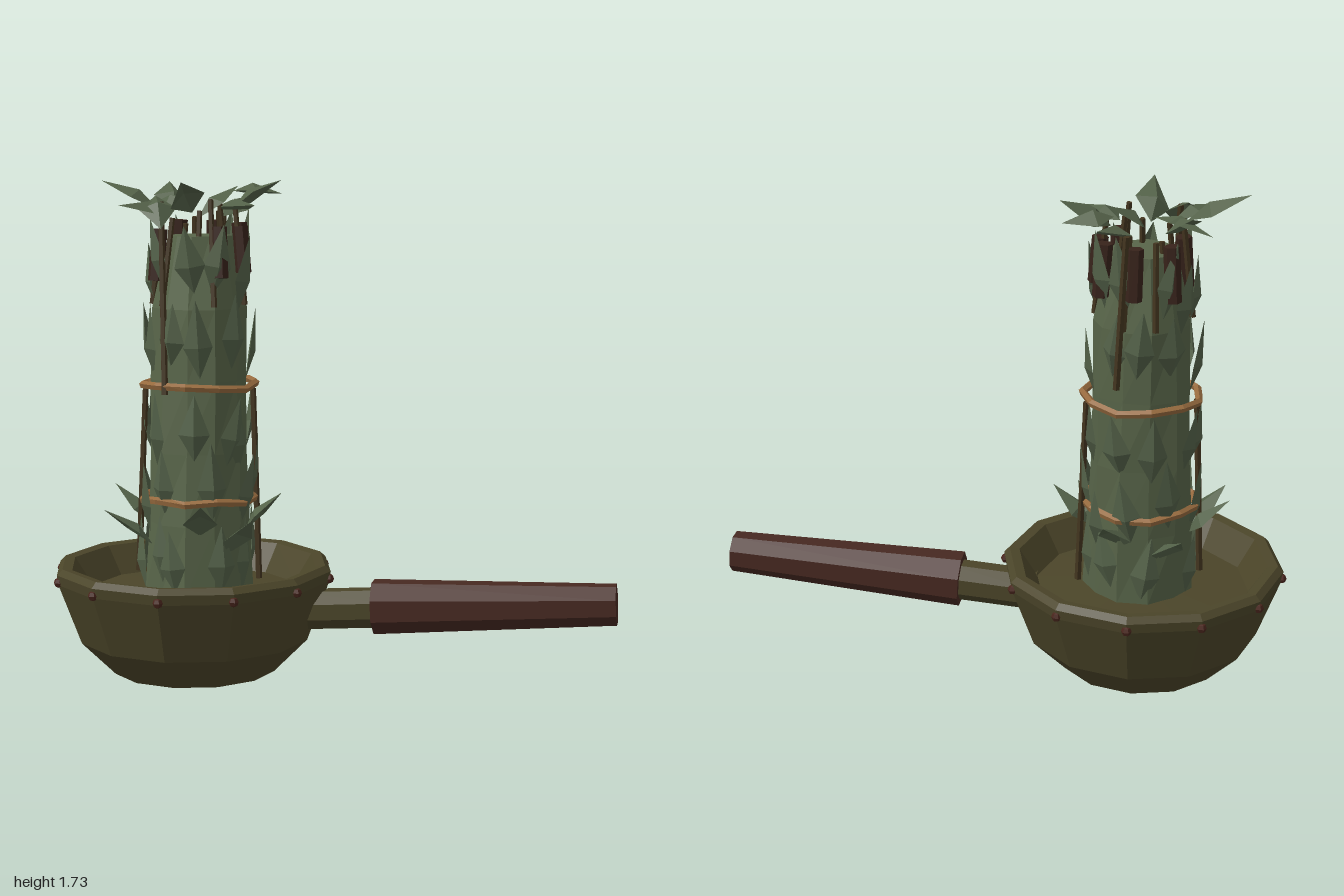
import * as THREE from 'three';
import { mergeGeometries } from 'three/addons/utils/BufferGeometryUtils.js';

const V = (x, y, z) => new THREE.Vector3(x, y, z);
const CX = -0.485;
// centre line and radius of the leaning herb bundle
const axisZ = y => -0.055 * (y - 0.3);
const bundleR = y => 0.195 - 0.028 * (y - 0.3);
const onBundle = (a, y, out = 0) => {
  const r = bundleR(y) + out;
  return V(CX + Math.sin(a) * r, y, axisZ(y) + Math.cos(a) * r);
};

function paint(name, color, side = THREE.FrontSide) {
  const m = new THREE.MeshStandardMaterial({ color, flatShading: true, side });
  m.name = name;
  return m;
}

// tapered rod between two points
function rod(a, b, ra, rb, sides) {
  const dir = b.clone().sub(a);
  const g = new THREE.CylinderGeometry(rb, ra, dir.length(), sides);
  g.rotateY(Math.PI / sides);
  g.applyQuaternion(new THREE.Quaternion().setFromUnitVectors(V(0, 1, 0), dir.clone().normalize()));
  g.translate((a.x + b.x) / 2, (a.y + b.y) / 2, (a.z + b.z) / 2);
  return g;
}

// pointed leaf folded along its midrib, facing the given direction
function leaf(base, tip, width, facing) {
  const dir = tip.clone().sub(base);
  const side = facing.clone().cross(dir).normalize();
  const up = dir.clone().cross(side).normalize();
  const mid = base.clone().addScaledVector(dir, 0.4);
  const rib = mid.clone().addScaledVector(up, width * 0.25);
  const l = mid.clone().addScaledVector(side, -width / 2);
  const r = mid.clone().addScaledVector(side, width / 2);
  const g = new THREE.BufferGeometry().setFromPoints([base, rib, l, base, r, rib, l, rib, tip, rib, r, tip]);
  g.computeVertexNormals();
  return g;
}

export function createModel() {
  const model = new THREE.Group();
  let seed = 11;
  const rnd = () => (seed = (seed * 16807) % 2147483647) / 2147483647;
  const jit = s => (rnd() - 0.5) * 2 * s;

  const bronze = paint('olive bronze', 0x4b4529);
  const wood = paint('handle wood', 0x472921);
  const rivet = paint('rivet brown', 0x4a261d);
  const green = paint('herb green', 0x586549);
  const leafGreen = paint('leaf green', 0x546249, THREE.DoubleSide);
  const stemBrown = paint('stem brown', 0x43351f);
  const barkBrown = paint('dark bark', 0x38231b);
  const twine = paint('twine', 0x966a3e);

  const add = (name, geo, mat) => {
    const m = new THREE.Mesh(Array.isArray(geo) ? mergeGeometries(geo) : geo, mat);
    m.name = name;
    model.add(m);
    return m;
  };

  // twelve-sided bowl with a chamfered rim and a steep inner wall
  const profile = [[0, 0], [0.29, 0], [0.41, 0.12], [0.49, 0.335], [0.495, 0.37], [0.475, 0.39],
    [0.44, 0.385], [0.375, 0.285], [0, 0.305]];
  add('bowl', new THREE.LatheGeometry(profile.map(p => new THREE.Vector2(...p)), 12), bronze).position.x = -0.5;

  // rivets under the rim
  const rivets = [];
  for (let i = 0; i < 12; i++) {
    const a = i * Math.PI / 6;
    rivets.push(new THREE.SphereGeometry(0.018, 6, 4).translate(-0.5 + Math.sin(a) * 0.489, 0.344, Math.cos(a) * 0.489));
  }
  add('rivets', rivets, rivet);

  // handle
  add('handleSocket', rod(V(-0.12, 0.229, 0), V(0.2, 0.25, 0), 0.072, 0.072, 8), bronze);
  add('handleGrip', rod(V(0.15, 0.25, 0), V(0.995, 0.293, 0), 0.098, 0.073, 8), wood);

  // uneven core of the bundle, drawn in at the top
  const core = new THREE.CylinderGeometry(1, 1, 1.25, 11, 5);
  core.translate(0, 0.915, 0);
  const p = core.attributes.position;
  for (let i = 0; i < p.count; i++) {
    const y = p.getY(i), a = Math.atan2(p.getX(i), p.getZ(i));
    const taper = y > 1.5 ? 0.72 : 1;
    const r = Math.hypot(p.getX(i), p.getZ(i)) * bundleR(y) * taper * (0.97 + 0.04 * Math.sin(a * 4 + y * 5));
    p.setXYZ(i, CX + Math.sin(a) * r, y, axisZ(y) + Math.cos(a) * r);
  }
  add('bundleCore', core, green);

  // rows of leaves hugging the bundle
  const hugging = [];
  [0.31, 0.53, 0.77, 1.08, 1.32].forEach((y0, row) => {
    for (let i = 0; i < 9; i++) {
      const a = (i + (row % 2) / 2) * Math.PI * 2 / 9 + jit(0.2);
      const y = y0 + jit(0.05);
      const base = onBundle(a, y, -0.012);
      const tip = onBundle(a + jit(0.25), y + 0.25 + jit(0.03), (row ? 0.03 : 0.005) + jit(0.012));
      hugging.push(leaf(base, tip, 0.1 + jit(0.015), V(Math.sin(a), 0, Math.cos(a))));
    }
  });
  add('sideLeaves', hugging, leafGreen);

  // leaves spreading over the bowl
  const spread = [[-0.8, 0.65, -0.05], [-0.77, 0.6, 0.2], [-0.38, 0.65, 0.37], [-0.18, 0.645, 0.0],
    [-0.4, 0.65, -0.36], [-0.66, 0.6, -0.32], [-0.24, 0.58, 0.2]];
  add('lowerLeaves', spread.map(t => {
    const tip = V(...t), a = Math.atan2(tip.x - CX, tip.z);
    return leaf(onBundle(a, tip.y - 0.14, -0.02), tip, 0.12, V(Math.sin(a) * 0.3, 1, Math.cos(a) * 0.3));
  }), leafGreen);

  // crown of leaves on the stem tips: base then tip
  const crown = [[-0.62, 1.63, -0.02, -0.83, 1.73, -0.03], [-0.57, 1.62, 0.0, -0.72, 1.65, 0.14],
    [-0.6, 1.62, -0.13, -0.66, 1.72, -0.32], [-0.43, 1.6, -0.14, -0.36, 1.67, -0.33],
    [-0.38, 1.63, -0.12, -0.22, 1.73, -0.2], [-0.4, 1.63, -0.05, -0.26, 1.65, 0.05],
    [-0.5, 1.62, -0.02, -0.49, 1.73, 0.17], [-0.48, 1.6, -0.02, -0.37, 1.71, -0.17],
    [-0.4, 1.69, -0.22, -0.24, 1.68, -0.29], [-0.62, 1.68, 0.02, -0.57, 1.57, 0.14],
    [-0.52, 1.66, -0.1, -0.72, 1.63, -0.2]];
  add('crownLeaves', crown.map(c => leaf(V(...c.slice(0, 3)), V(...c.slice(3)), 0.13, V(jit(0.5), 1, jit(0.5)))), leafGreen);

  // thin stems: long ones down the sides and short ones at the top
  const stems = [[1.9, 1.9, 0.32, 1.0], [-1.5, -1.4, 0.35, 1.0], [-0.4, -0.66, 1.0, 1.66], [2.8, 2.9, 1.1, 1.63]]
    .map(([a0, a1, y0, y1]) => rod(onBundle(a0, y0, 0.022), onBundle(a1, y1, 0.015), 0.012, 0.011, 5));
  for (let i = 0; i < 9; i++) {
    const a = i * 0.7 + jit(0.2);
    const r = i % 3 === 0 ? -0.09 : -0.03;
    stems.push(rod(onBundle(a, 1.3, r + 0.03), onBundle(a + jit(0.1), 1.62 + jit(0.05), r), 0.011, 0.01, 5));
  }
  add('stems', stems, stemBrown);

  // thick bark pieces tucked in the top
  const bark = [-2.4, -0.95, 0.7, 1.45, 2.2, 3.05].map(a =>
    rod(onBundle(a, 1.4 + jit(0.02), 0), onBundle(a, 1.575 + jit(0.015), -0.01), 0.028, 0.028, 6));
  add('barkPieces', bark, barkBrown);

  // twine bindings, straight between corners
  [[0.62, 0.012], [1.02, 0.026]].forEach(([y, out], k) => {
    const ring = new THREE.CurvePath();
    const corner = i => onBundle((i % 11) * Math.PI * 2 / 11, y + 0.008 * Math.sin((i % 11) * 2 + k), out);
    for (let i = 0; i < 11; i++) ring.add(new THREE.LineCurve3(corner(i), corner(i + 1)));
    add(k ? 'upperTwine' : 'lowerTwine', new THREE.TubeGeometry(ring, 22, 0.014, 5, true), twine);
  });

  return model;
}
